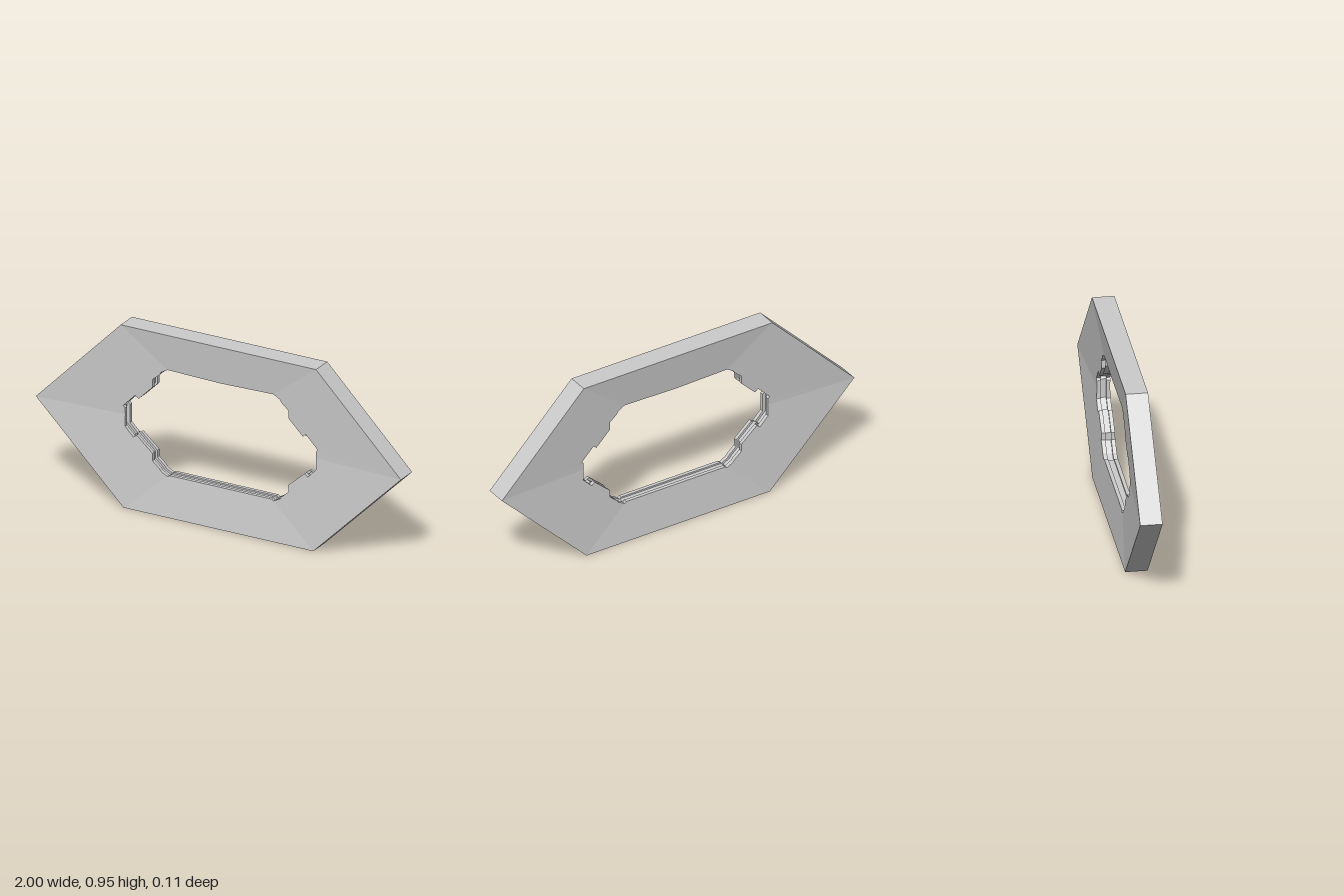
import * as THREE from 'three';

const RIM_Z = 0.054, LIP_Z = 0.033, GROOVE_Z = 0.014;

// Right half of the opening, bottom centre to top centre
const rightHole = [
  [0, 0.21], [0.28, 0.21], [0.29, 0.203], [0.325, 0.222], [0.335, 0.235], [0.373, 0.268], [0.373, 0.305],
  [0.46, 0.382], [0.477, 0.368], [0.523, 0.415], [0.523, 0.475], [0.523, 0.51], [0.533, 0.52],
  [0.467, 0.587], [0.45, 0.572], [0.373, 0.648], [0.373, 0.69], [0.335, 0.722], [0.325, 0.738],
  [0.29, 0.757], [0, 0.75],
];
const CORNERS = { bottom: 2, tip: 10, top: 19 };

const material = new THREE.MeshStandardMaterial({ color: 0xcccccc, flatShading: true, side: THREE.DoubleSide });
const vec = ([x, y]) => new THREE.Vector2(x, y);

// Counter-clockwise outlines of the opening and of the six-sided rim
const hole = [
  ...rightHole,
  ...rightHole.slice(1, -1).reverse().map(([x, y]) => [-x, y]),
].map(vec);
const hex = [[0.52, 0], [1, 0.475], [0.535, 0.947], [-0.535, 0.947], [-1, 0.475], [-0.52, 0]].map(vec);
const n = hole.length;
const holeCorners = [
  CORNERS.bottom, CORNERS.tip, CORNERS.top, n - CORNERS.top, n - CORNERS.tip, n - CORNERS.bottom,
];

// Face height: each panel slopes inward from its rim edge to the opening
function faceZ(p) {
  let ratio = 1.1;
  hex.forEach((a, i) => {
    const d = hex[(i + 1) % 6].clone().sub(a).normalize();
    const inset = d.x * (p.y - a.y) - d.y * (p.x - a.x);
    const width = i === 2 ? 0.191 : i === 5 ? 0.207 : 0.31;
    ratio = Math.min(ratio, Math.max(0, inset) / width);
  });
  return RIM_Z - (RIM_Z - LIP_Z) * ratio;
}

// One sloping panel between a rim edge and its stretch of the opening
function panelGeometry(i) {
  const start = holeCorners[i], end = holeCorners[(i + 1) % 6];
  const inner = [];
  for (let k = start; ; k = (k + 1) % n) {
    inner.push(hole[k]);
    if (k === end) break;
  }
  const geometry = new THREE.ShapeGeometry(new THREE.Shape([hex[i], hex[(i + 1) % 6], ...inner.reverse()]));
  const pos = geometry.attributes.position;
  for (let k = 0; k < pos.count; k++) pos.setZ(k, faceZ(new THREE.Vector2(pos.getX(k), pos.getY(k))));
  geometry.computeVertexNormals();
  return geometry;
}

// Quads joining successive closed rings
function bandGeometry(rings) {
  const out = [];
  for (let r = 0; r + 1 < rings.length; r++) {
    const a = rings[r], b = rings[r + 1];
    a.forEach((p, i) => {
      const j = (i + 1) % a.length;
      for (const v of [p, b[i], b[j], p, b[j], a[j]]) out.push(v.x, v.y, v.z);
    });
  }
  const geometry = new THREE.BufferGeometry();
  geometry.setAttribute('position', new THREE.Float32BufferAttribute(out, 3));
  geometry.computeVertexNormals();
  return geometry;
}

export function createModel() {
  const group = new THREE.Group();
  group.name = 'hexagonalFrame';
  const add = (name, geometry) => {
    const mesh = new THREE.Mesh(geometry, material);
    mesh.name = name;
    group.add(mesh);
    return mesh;
  };

  // Front panels and their turned copies on the back
  const names = ['lowerLeft', 'upperLeft', 'top', 'upperRight', 'lowerRight', 'bottom'];
  names.forEach((name, i) => {
    const geometry = panelGeometry(i);
    add(name + 'FrontPanel', geometry);
    add(name + 'BackPanel', geometry).rotation.y = Math.PI;
  });

  // Flat outer edge
  const rim = (z) => hex.map((p) => new THREE.Vector3(p.x, p.y, z));
  add('outerEdge', bandGeometry([rim(-RIM_Z), rim(RIM_Z)].reverse()));

  // Inner edge: two lips with a shallow groove between them
  const ring = (z, scale = 1) => hole.map((p) =>
    new THREE.Vector3(p.x * scale, 0.475 + (p.y - 0.475) * scale, z));
  const lip = (side) => hole.map((p) => new THREE.Vector3(p.x, p.y, side * faceZ(p)));
  add('innerEdge', bandGeometry([
    lip(-1), ring(-GROOVE_Z), ring(-GROOVE_Z, 1.03), ring(GROOVE_Z, 1.03), ring(GROOVE_Z), lip(1),
  ]));

  return group;
}
